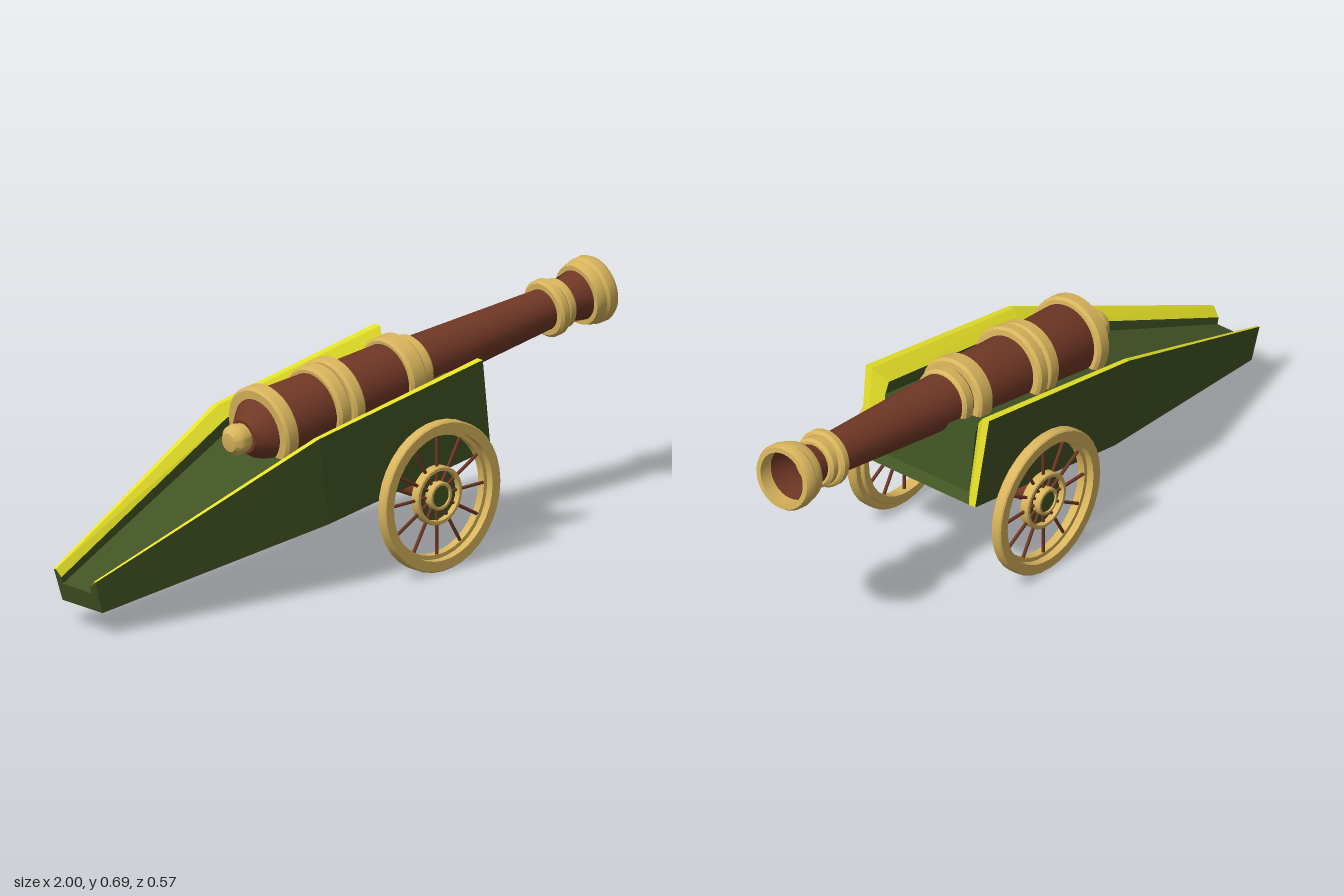
import * as THREE from 'three';
import { toCreasedNormals } from 'three/addons/utils/BufferGeometryUtils.js';

const mat = (name, color, side = THREE.FrontSide) => {
  const m = new THREE.MeshStandardMaterial({ color, side });
  m.name = name;
  return m;
};

export function createModel() {
  const model = new THREE.Group();
  model.name = 'fieldCannon';
  const gold = mat('gold', 0xd8b45c);
  const brown = mat('brown', 0x713826);
  const green = mat('green', 0x425424, THREE.DoubleSide);
  const yellow = mat('yellow', 0xe8e428, THREE.DoubleSide);

  const add = (parent, name, geometry, material) => {
    const mesh = new THREE.Mesh(geometry, material);
    mesh.name = name;
    parent.add(mesh);
    return mesh;
  };
  const lathe = (parent, name, profile, material, sides = 32) =>
    add(parent, name, toCreasedNormals(
      new THREE.LatheGeometry(profile.map(([r, t]) => new THREE.Vector2(r, t)), sides), 0.6), material);

  // Flat ribbon of quads between two polylines
  const ribbon = (parent, name, a, b, material) => {
    const pos = [];
    for (let i = 0; i < a.length - 1; i++) {
      for (const p of [a[i], b[i], b[i + 1], a[i], b[i + 1], a[i + 1]]) pos.push(...p);
    }
    const g = new THREE.BufferGeometry();
    g.setAttribute('position', new THREE.Float32BufferAttribute(pos, 3));
    g.computeVertexNormals();
    return add(parent, name, g, material);
  };

  // Ring with bevelled outer edges, inner radius ri
  const ring = (ri, r, t0, t1, b = 0.008) => [
    [ri, t0], [r - b, t0], [r, t0 + b], [r, t1 - b], [r - b, t1], [ri, t1], [ri, t0]];

  // Barrel, built along its own axis and then tilted
  const barrel = new THREE.Group();
  barrel.name = 'barrel';
  barrel.position.set(0, 0.484, 0);
  barrel.rotation.z = -Math.PI / 2 + 0.115;
  model.add(barrel);
  lathe(barrel, 'barrelTube', [
    [0, -0.36], [0.05, -0.36], [0.065, -0.34], [0.098, -0.3], [0.107, -0.26], [0.1, -0.05],
    [0.095, 0.2], [0.081, 0.28], [0.06, 0.8], [0.058, 0.86], [0.075, 0.93]], brown);
  lathe(barrel, 'bore', [[0.078, 0.95], [0.07, 0.9], [0.06, 0.83], [0.059, 0.43], [0, 0.43]], brown);
  lathe(barrel, 'muzzleRing', [
    [0.074, 0.92], [0.088, 0.92], [0.093, 0.935], [0.093, 0.952], [0.099, 0.96], [0.099, 0.984],
    [0.093, 0.995], [0.078, 0.995], [0.078, 0.94], [0.074, 0.92]], gold);
  [
    ['breechBand', 0.09, 0.127, -0.305, -0.255],
    ['rearBandA', 0.09, 0.119, -0.093, -0.045],
    ['rearBandB', 0.09, 0.124, -0.04, 0.004],
    ['middleBandA', 0.08, 0.112, 0.19, 0.25],
    ['middleBandB', 0.07, 0.092, 0.25, 0.295],
    ['neckBandA', 0.055, 0.085, 0.79, 0.825],
    ['neckBandB', 0.055, 0.074, 0.825, 0.86],
    ['boreLip', 0.059, 0.0625, 0.822, 0.834],
  ].forEach(([name, ri, r, t0, t1]) =>
    lathe(barrel, name, ring(ri, r, t0, t1, Math.min(0.008, (r - ri) / 2)), gold));
  lathe(barrel, 'breechKnob', [
    [0, -0.42], [0.028, -0.416], [0.043, -0.4], [0.046, -0.382], [0.04, -0.36], [0.045, -0.345], [0, -0.34]], gold);

  // Carriage: each side has an outer wall, yellow rim and bevel, and an inner wall
  const carriage = new THREE.Group();
  carriage.name = 'carriage';
  model.add(carriage);
  const sides = [1, -1].map((s) => {
    const d = s > 0 ? 0 : 0.012; // the far bevel is slightly narrower
    const at = (pts, extra = 0) => pts.map(([x, y, z]) => [x, y, s * (z + extra)]);
    const bottom = at([[-0.97, 0.07, 0.084], [-0.22, 0.203, 0.21], [0.393, 0.297, 0.213]]);
    const outer = at([[-1, 0.168, 0.088], [-0.27, 0.468, 0.222], [0.35, 0.572, 0.228], [0.393, 0.297, 0.213]]);
    const rim = at([[-1, 0.168, 0.08], [-0.27, 0.468, 0.205], [0.35, 0.572, 0.205], [0.393, 0.297, 0.19]]);
    const bevel = at([[-0.99, 0.145, 0.055], [-0.26, 0.435, 0.165], [0.33, 0.533, 0.16], [0.37, 0.32, 0.16]], d);
    const deck = at([[-0.985, 0.125, 0.055], [-0.25, 0.4, 0.165], [0.345, 0.5, 0.16], [0.37, 0.32, 0.16]], d);
    ribbon(carriage, 'sideWall', outer.slice(0, 3), bottom, green);
    ribbon(carriage, 'sideRim', outer, rim, yellow);
    ribbon(carriage, 'sideBevel', rim, bevel, yellow);
    ribbon(carriage, 'innerWall', bevel, deck, green);
    return { bottom, outer, rim, bevel, deck };
  });
  const [l, r] = sides;
  ribbon(carriage, 'deckAndFrontPanel', l.deck, r.deck, green);
  ribbon(carriage, 'underside', l.bottom, r.bottom, green);
  ribbon(carriage, 'frontSill', [l.bevel[3], l.rim[3]], [r.bevel[3], r.rim[3]], green);
  const tailTop = [l.outer[0], l.bevel[0], l.deck[0], r.deck[0], r.bevel[0], r.outer[0]];
  ribbon(carriage, 'tailEnd', tailTop, tailTop.map(([, , z]) => [-0.97, 0.07, z * 0.95]), green);

  // Axle
  const wheelX = 0.148, wheelY = 0.222;
  const axle = add(model, 'axle', new THREE.CylinderGeometry(0.027, 0.027, 0.5, 20), brown);
  axle.rotation.x = Math.PI / 2;
  axle.position.set(wheelX, wheelY, 0);

  // Wheels, built along +y and turned outward
  for (const s of [1, -1]) {
    const wheel = new THREE.Group();
    wheel.name = s > 0 ? 'frontWheel' : 'backWheel';
    wheel.position.set(wheelX, wheelY, 0);
    wheel.rotation.x = s * Math.PI / 2;
    model.add(wheel);
    lathe(wheel, 'rim', ring(0.188, 0.221, 0.25, 0.285, 0.004), gold, 36);
    lathe(wheel, 'innerRim', ring(0.176, 0.2, 0.238, 0.262, 0.003), gold, 36);
    lathe(wheel, 'hubRing', ring(0.074, 0.086, 0.242, 0.272, 0.003), gold, 28);
    lathe(wheel, 'hubCap', ring(0.032, 0.042, 0.242, 0.278, 0.003), gold, 24);
    const disc = add(wheel, 'hubDisc', new THREE.CylinderGeometry(0.078, 0.078, 0.008, 28), green);
    disc.position.y = 0.25;
    const core = add(wheel, 'hubCore', new THREE.CylinderGeometry(0.033, 0.033, 0.022, 24), green);
    core.position.y = 0.261;
    for (let i = 0; i < 12; i++) {
      const spoke = new THREE.Group();
      spoke.name = 'spoke';
      spoke.rotation.y = (i * Math.PI) / 6;
      wheel.add(spoke);
      const bar = add(spoke, 'spokeBar', new THREE.CylinderGeometry(0.005, 0.005, 0.155, 8), brown);
      bar.rotation.z = Math.PI / 2;
      bar.position.set(0.113, 0.257, 0);
    }
  }
  return model;
}
